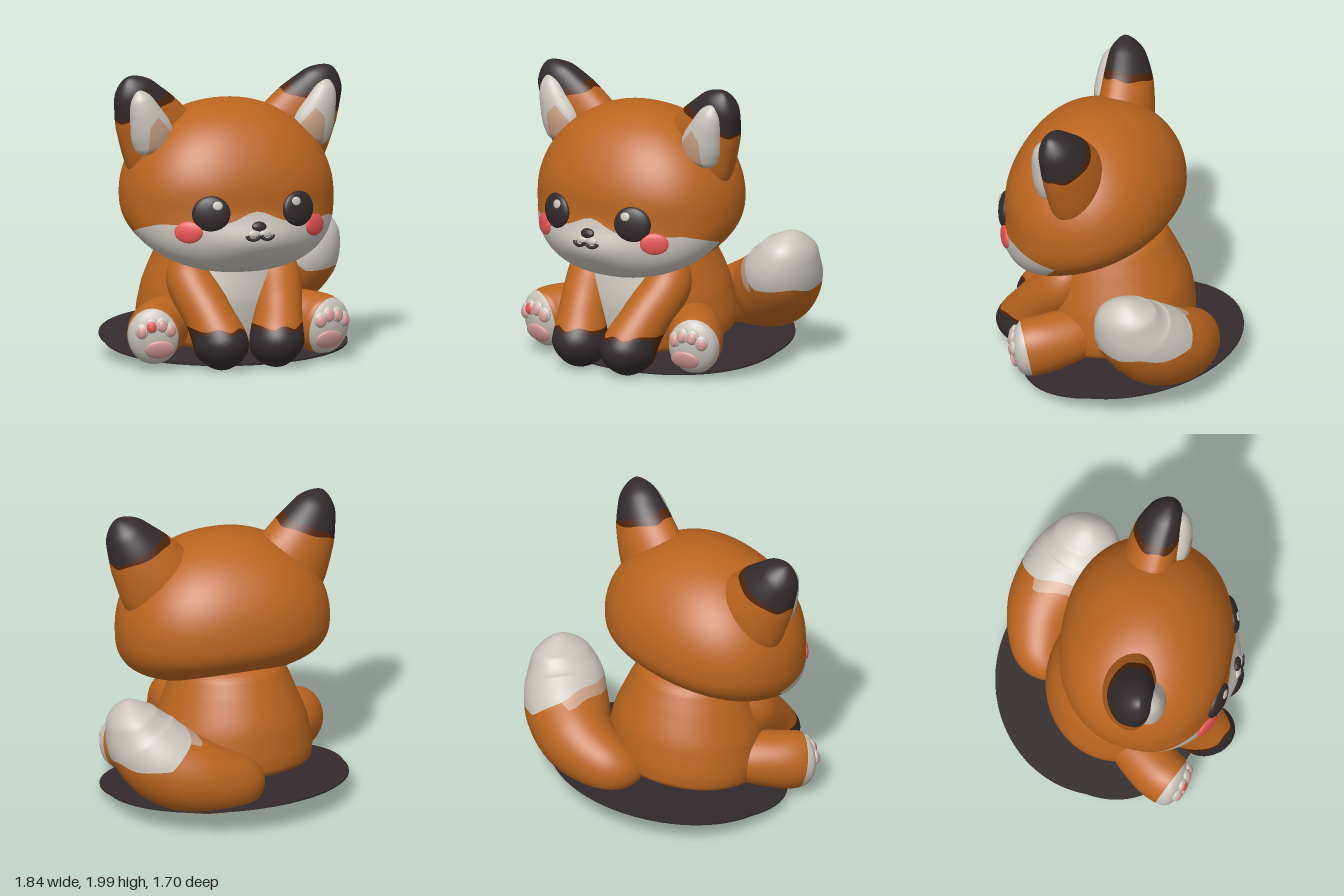
import * as THREE from 'three';
import { mergeVertices } from 'three/addons/utils/BufferGeometryUtils.js';

const mat = (name, color) => {
  const m = new THREE.MeshStandardMaterial({ color });
  m.name = name;
  return m;
};
const X = new THREE.Vector3(1, 0, 0), Y = new THREE.Vector3(0, 1, 0), Z = new THREE.Vector3(0, 0, 1);

// Closed tube through stations [x, y, z, halfWidth, halfDepth] with rounded ends.
function sweep(stations, ref, cap = 0.25, front = 1, nU = 48, nV = 48) {
  const path = new THREE.CatmullRomCurve3(stations.map((s) => new THREE.Vector3(s[0], s[1], s[2])));
  const size = new THREE.CatmullRomCurve3(stations.map((s) => new THREE.Vector3(s[3], s[4], 0)));
  const pos = [], index = [];
  for (let i = 0; i <= nU; i++) {
    const t = (1 - Math.cos((Math.PI * i) / nU)) / 2;
    const c = path.getPoint(t), r = size.getPoint(t), T = path.getTangent(t);
    const S = ref.clone().cross(T).normalize(), B = T.clone().cross(S);
    const e = Math.max(0, 1 - Math.min(t, 1 - t) / cap);
    const k = Math.sqrt(Math.max(0, 1 - e * e));
    for (let j = 0; j < nV; j++) {
      const a = (j / nV) * Math.PI * 2, sn = Math.sin(a);
      const p = c.clone().addScaledVector(S, Math.cos(a) * r.x * k)
        .addScaledVector(B, sn * r.y * k * (sn > 0 ? front : 1));
      pos.push(p.x, p.y, p.z);
      if (i < nU) {
        const p0 = i * nV + j, p1 = i * nV + ((j + 1) % nV);
        index.push(p0, p1, p0 + nV, p1, p1 + nV, p0 + nV);
      }
    }
  }
  const g = new THREE.BufferGeometry();
  g.setAttribute('position', new THREE.Float32BufferAttribute(pos, 3));
  g.setIndex(index);
  g.computeVertexNormals();
  return g;
}

// Cuts a surface along fields(x, y, z) = 0; where field k is positive the face gets material k + 1.
function paint(g, ...fields) {
  const src = g.toNonIndexed(), p = src.attributes.position.array, n = src.attributes.normal.array;
  let rest = [];
  for (let i = 0; i < p.length; i += 9) {
    rest.push([0, 3, 6].map((o) => [...p.slice(i + o, i + o + 3), ...n.slice(i + o, i + o + 3)]));
  }
  const clip = (tri, d, keep) => {
    const poly = [];
    tri.forEach((a, i) => {
      const j = (i + 1) % 3, inA = d[i] > 0, inB = d[j] > 0;
      if (inA === keep) poly.push(a);
      if (inA !== inB) poly.push(a.map((v, c) => v + ((tri[j][c] - v) * d[i]) / (d[i] - d[j])));
    });
    return poly.slice(2).map((v, i) => [poly[0], poly[i + 1], v]);
  };
  const cut = fields.map((f) => {
    const inside = [], outside = [];
    for (const tri of rest) {
      const d = tri.map((v) => f(v[0], v[1], v[2]));
      inside.push(...clip(tri, d, true));
      outside.push(...clip(tri, d, false));
    }
    rest = outside;
    return inside;
  });
  const out = new THREE.BufferGeometry(), verts = [rest, ...cut].map((b) => b.flat());
  let start = 0;
  verts.forEach((b, k) => { out.addGroup(start, b.length, k); start += b.length; });
  const all = verts.flat();
  out.setAttribute('position', new THREE.Float32BufferAttribute(all.flatMap((v) => v.slice(0, 3)), 3));
  out.setAttribute('normal', new THREE.Float32BufferAttribute(all.flatMap((v) => v.slice(3)), 3));
  return out;
}

// Rounded, forward-tilted head with a boxier lower half, shallow eye line and muzzle bulge.
function headGeometry() {
  const g = new THREE.SphereGeometry(1, 112, 80);
  g.deleteAttribute('uv');
  g.deleteAttribute('normal');
  const p = g.attributes.position;
  const pw = (v, e) => Math.sign(v) * Math.abs(v) ** e;
  for (let i = 0; i < p.count; i++) {
    const y = p.getY(i), rr = Math.sqrt(Math.max(0, 1 - y * y)), e = y < 0 ? 0.75 : 1;
    const lon = Math.atan2(p.getZ(i), p.getX(i));
    const h = pw(y, e), r = rr ** e;
    const x = 0.735 * r * pw(Math.cos(lon), 0.9);
    let z = 0.59 * r * pw(Math.sin(lon), 0.9);
    const tilt = h > 0 ? 0.11 * (1 - h) : 0.11 - 0.24 * h;
    const yy = 1.15 + (h > 0 ? 0.65 : 0.42) * h - tilt * z;
    if (z > 0) {
      z += 0.06 * Math.exp(-((x / 0.3) ** 2) - ((yy - 0.9) / 0.13) ** 2);
      z -= 0.02 * Math.min(1, z / 0.4) * Math.exp(-(((yy - 1.1) / 0.14) ** 2));
    }
    p.setXYZ(i, x, yy, z + 0.2);
  }
  const m = mergeVertices(g, 1e-5);
  m.computeVertexNormals();
  return m;
}

export function createModel() {
  const orange = mat('orange fur', 0xbb651f), white = mat('cream fur', 0xcac4bb);
  const dark = mat('dark fur', 0x332b2d), brown = mat('brown fur', 0x50240b);
  const pink = mat('pink pads', 0xd69d99), red = mat('red blush', 0xf25a58), tan = mat('tan fur', 0xc59d82);
  const group = new THREE.Group();
  const add = (name, geo, material) => {
    const m = new THREE.Mesh(geo, material);
    m.name = name;
    group.add(m);
    return m;
  };
  const blob = (a, b, c) => new THREE.SphereGeometry(1, 32, 24).scale(a, b, c);
  // Sets a part on the front surface of a target, facing along its normal.
  const place = (name, geo, material, target, x, y, lift = 0) => {
    target.updateMatrixWorld();
    const hit = new THREE.Raycaster(new THREE.Vector3(x, y, 3), new THREE.Vector3(0, 0, -1)).intersectObject(target)[0];
    const n = hit.face.normal.clone().transformDirection(target.matrixWorld);
    const m = add(name, geo, material);
    m.position.copy(hit.point).addScaledVector(n, lift);
    m.lookAt(m.position.clone().add(n));
    return m;
  };

  // Head with cream cheeks and chin
  const head = add('head', paint(headGeometry(), (x, y, z) => {
    const top = 0.92 + 0.1 * Math.min(1, Math.max(0, (z - 0.2) / 0.35)) + 0.085 * Math.exp(-((x / 0.15) ** 2));
    return Math.min(z - 0.21 - (0.95 - y) * 0.85, top - y);
  }), [orange, white]);

  // Body with cream chest
  add('body', paint(sweep([
    [0, 0.12, -0.03, 0.51, 0.46], [0, 0.3, 0, 0.55, 0.5], [0, 0.5, 0.03, 0.52, 0.5],
    [0, 0.75, 0.06, 0.43, 0.43], [0, 1.0, 0.08, 0.33, 0.32],
  ], Z, 0.13), (x, y, z) => Math.min(z - 0.2, 0.06 + 0.5 * Math.max(0, y - 0.2) - Math.abs(x))), [orange, white]);

  for (const s of [-1, 1]) {
    const side = s > 0 ? 'left' : 'right';

    // Ear with dark tip and cream inside
    const tip = (x, y, z) => y - 1.83 + 0.39 * (Math.abs(x) - 0.395) - 0.01 * Math.sin(z * 40);
    add(side + 'Ear', paint(sweep([
      [s * 0.365, 1.35, 0.16, 0.285, 0.2], [s * 0.455, 1.5, 0.18, 0.29, 0.22], [s * 0.59, 1.72, 0.21, 0.23, 0.2],
      [s * 0.68, 1.875, 0.24, 0.155, 0.15], [s * 0.74, 1.985, 0.255, 0.09, 0.09],
    ], Z, 0.22, 0.66), (x, y, z) => tip(x, y, z) - 0.02 - 0.12 * Math.max(0, 0.8 - Math.abs(x)), tip),
    [orange, dark, brown]);
    add(side + 'InnerEar', paint(sweep([
      [s * 0.535, 1.46, 0.28, 0.14, 0.1], [s * 0.58, 1.6, 0.3, 0.15, 0.11],
      [s * 0.645, 1.77, 0.32, 0.105, 0.085], [s * 0.69, 1.91, 0.31, 0.055, 0.05],
    ], Z, 0.2), (x, y) => Math.min(1.73 - 1.1 * Math.abs(Math.abs(x) - 0.57) - y, 0.635 - Math.abs(x),
      Math.abs(x) - 0.47)), [white, tan]);

    // Eye, glint and blush
    const eye = place(side + 'Eye', blob(0.13, 0.122, 0.045), dark, head, s * 0.315, 1.1);
    place(side + 'EyeGlint', blob(0.034, 0.03, 0.008), white, eye, s * 0.285, 1.16);
    place(side + 'Blush', blob(0.098, 0.074, 0.024), red, head, s * 0.458, 0.973);

    // Muzzle half and mouth curve
    place(side + 'Muzzle', blob(0.044, 0.028, 0.018), white, head, s * 0.04, 0.962);
    place(side + 'Mouth', new THREE.TorusGeometry(0.042, 0.015, 8, 20, Math.PI).rotateZ(Math.PI).scale(1, 0.7, 0.8),
      dark, head, s * 0.05, 0.947, 0.006);

    // Front leg with dark paw
    const paw = (x, y, z) => Math.min(0.295 + 0.012 * Math.sin(x * 40) - y, z - 0.45);
    add(side + 'FrontLeg', paint(sweep([
      [s * 0.3, 0.8, 0.2, 0.13, 0.13], [s * 0.31, 0.58, 0.33, 0.165, 0.165],
      [s * 0.25, 0.36, 0.52, 0.17, 0.165], [s * 0.2, 0.17, 0.63, 0.2, 0.185], [s * 0.195, 0.02, 0.69, 0.19, 0.155],
    ], X, 0.25), (x, y, z) => Math.min(paw(x, y, z) - 0.02, z - 0.59), paw), [orange, dark, brown]);

    // Hind leg with cream sole, toes and pads
    const leg = add(side + 'HindLeg', paint(sweep([
      [s * 0.3, 0.31, 0.07, 0.17, 0.16], [s * 0.48, 0.28, 0.25, 0.19, 0.19],
      [s * 0.6, 0.25, 0.4, 0.185, 0.205], [s * 0.645, 0.228, 0.55, 0.17, 0.185],
    ], Y, 0.2), (x, y, z) =>
      (Math.abs(x) - 0.6) * 0.45 - (y - 0.245) * 0.2 + (z - 0.4) * 0.89 - 0.065), [orange, white]);
    place(side + 'SolePad', blob(0.104, 0.068, 0.024), pink, leg, s * 0.615, 0.155);
    [[0.735, 0.285], [0.675, 0.325], [0.605, 0.33], [0.545, 0.295]].forEach(([x, y], k) => {
      place(side + 'Toe' + k, blob(0.046, 0.054, 0.024), white, leg, s * x, y);
      place(side + 'ToePad' + k, blob(0.033, 0.039, 0.018), s < 0 && k === 1 ? red : pink, leg, s * x, y - 0.008, 0.014);
    });
  }

  // Nose
  place('nose', blob(0.052, 0.034, 0.022), dark, head, 0, 1.005, 0.008);

  // Bushy tail curling to the left with cream tip
  const cream = (x, y, z) => y - 0.52 - 0.95 * Math.max(0, 0.7 - x) - 0.012 * Math.sin(z * 22);
  add('tail', paint(sweep([
    [-0.02, 0.25, -0.42, 0.15, 0.15], [0.18, 0.3, -0.56, 0.2, 0.2], [0.45, 0.385, -0.575, 0.255, 0.255],
    [0.65, 0.48, -0.48, 0.28, 0.29], [0.78, 0.63, -0.38, 0.255, 0.28],
    [0.85, 0.79, -0.35, 0.18, 0.215], [0.88, 0.91, -0.34, 0.1, 0.13],
  ], Z, 0.17, 1, 64), cream, (x, y, z) => Math.min(cream(x, y, z) + 0.11, 0.66 - x, z + 0.66)), [orange, white, tan]);

  // Thin tilted base disc, a little wider at the front
  const disc = new THREE.CylinderGeometry(1, 1, 0.012, 80), dp = disc.attributes.position;
  for (let i = 0; i < dp.count; i++) dp.setX(i, dp.getX(i) * (1 + 0.16 * Math.max(0, dp.getZ(i))));
  const base = add('base', disc.scale(0.835, 1, 0.735), dark);
  base.rotation.x = Math.atan(0.124);
  base.position.set(0.075, 0.119, -0.115);

  group.position.x = -0.115;
  const model = new THREE.Group();
  model.name = 'sittingFox';
  model.add(group);
  return model;
}
